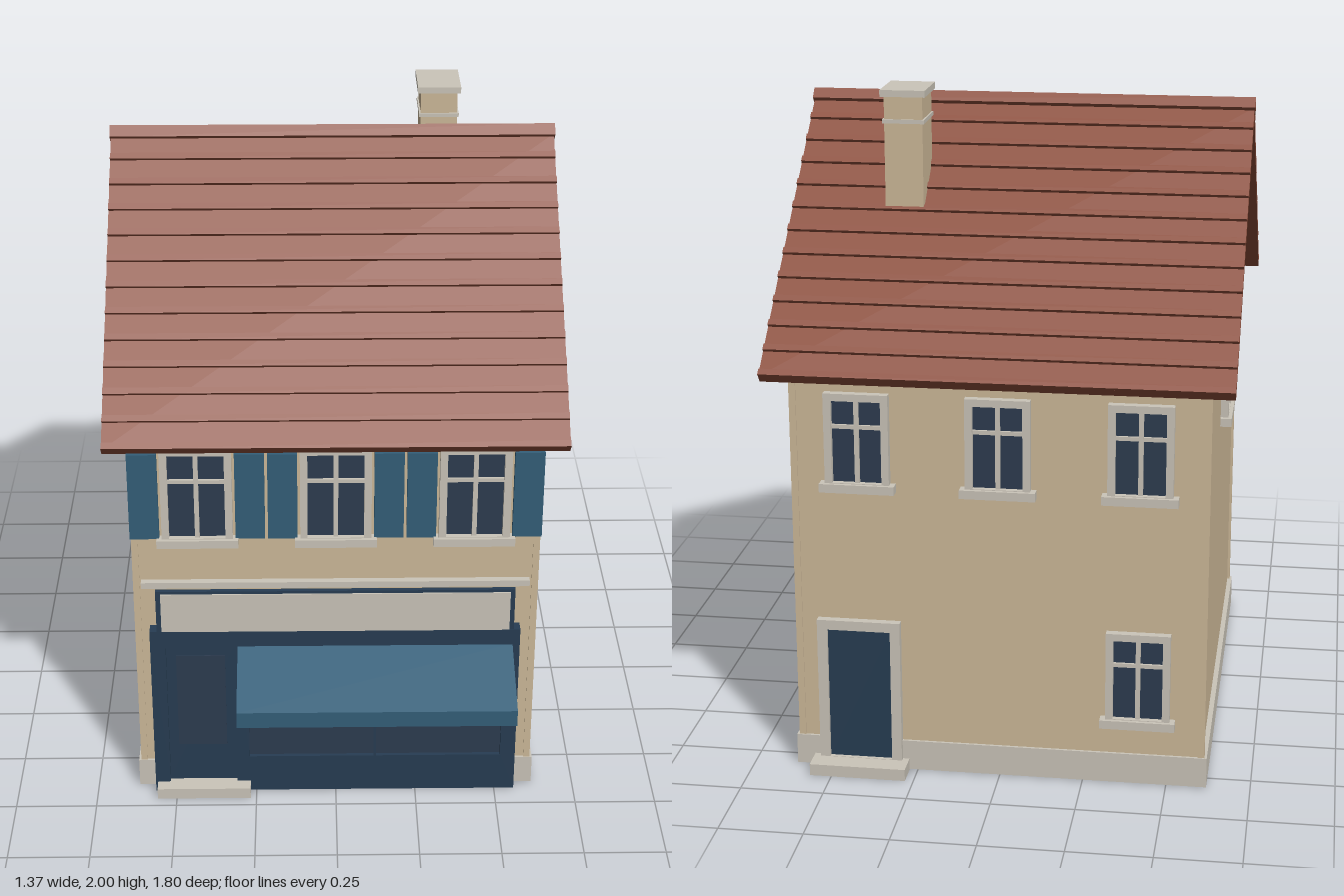
import * as THREE from 'three';

const mat = (name, color) => {
  const m = new THREE.MeshStandardMaterial({ color });
  m.name = name;
  return m;
};

export function createModel() {
  const wall = mat('plaster', 0xcdb999);
  const trim = mat('stone trim', 0xcbc5b9);
  const tile = mat('roof tile', 0x8b4c39);
  const navy = mat('shopfront paint', 0x273d53);
  const glass = mat('dark glass', 0x2d3c50);
  const blue = mat('shutter blue', 0x345f79);

  const model = new THREE.Group();
  model.name = 'house';
  const ZC = -0.086, HX = 0.605, HZ = 0.72, SLOPE = 0.84;

  const add = (name, geo, material, parent = model) => {
    const m = new THREE.Mesh(geo, material);
    m.name = name;
    parent.add(m);
    return m;
  };
  // box given by its min and max on each axis
  const box = (name, material, x0, x1, y0, y1, z0, z1, parent) => {
    const m = add(name, new THREE.BoxGeometry(x1 - x0, y1 - y0, z1 - z0), material, parent);
    m.position.set((x0 + x1) / 2, (y0 + y1) / 2, (z0 + z1) / 2);
    return m;
  };
  const rectPath = (x0, x1, y0, y1, Type = THREE.Path) => {
    const p = new Type();
    p.moveTo(x0, y0).lineTo(x1, y0).lineTo(x1, y1).lineTo(x0, y1).closePath();
    return p;
  };
  const frame = (name, material, outer, holes, depth, parent) => {
    const s = rectPath(...outer, THREE.Shape);
    holes.forEach(h => s.holes.push(rectPath(...h)));
    return add(name, new THREE.ExtrudeGeometry(s, { depth, bevelEnabled: false }), material, parent);
  };

  // Walls with gables, extruded along x
  const gable = new THREE.Shape();
  gable.moveTo(-HZ, 0).lineTo(HZ, 0).lineTo(HZ, 1.28).lineTo(0, 1.885).lineTo(-HZ, 1.28).closePath();
  const walls = add('walls', new THREE.ExtrudeGeometry(gable, { depth: HX * 2, bevelEnabled: false }), wall);
  walls.rotation.y = -Math.PI / 2;
  walls.position.set(HX, 0, ZC);

  // Plinth, eaves band and corner strips
  box('plinth', trim, -0.62, 0.62, 0.002, 0.095, ZC - HZ - 0.008, ZC + HZ + 0.008);
  box('eavesBand', trim, -0.618, 0.618, 1.24, 1.28, ZC - HZ - 0.008, ZC + HZ + 0.008);
  for (const sx of [-1, 1]) for (const sz of [-1, 1]) {
    const c = box('cornerStrip', wall, -0.01, 0.01, 0.095, 1.24, -0.01, 0.01);
    c.position.x = sx * 0.603;
    c.position.z = ZC + sz * 0.714;
  }

  // Roof: two slabs with raised tile courses, and a ridge beam
  const angle = Math.atan(SLOPE), run = 0.795, len = run / Math.cos(angle), courses = 12;
  for (const side of [1, -1]) {
    const slope = new THREE.Group();
    slope.name = side > 0 ? 'frontRoofSlope' : 'backRoofSlope';
    slope.position.set(0, 1.905, ZC);
    slope.rotation.order = 'YXZ';
    slope.rotation.y = side > 0 ? 0 : Math.PI;
    slope.rotation.x = angle;
    box('roofSlab', tile, -0.68, 0.68, -0.014, 0.012, 0, len, slope);
    for (let i = 1; i <= courses; i++) {
      const z = (len * i) / courses;
      box('tileCourse', tile, -0.68, 0.68, 0.008, 0.023, z - 0.02, z, slope);
    }
    model.add(slope);
  }
  const ridge = box('ridgeTile', tile, -0.683, 0.683, -0.019, 0.019, -0.019, 0.019);
  ridge.position.set(0, 1.918, ZC);
  ridge.rotation.x = Math.PI / 4;

  // Chimney
  box('chimney', wall, 0.28, 0.395, 1.5, 1.985, -0.424, -0.276);
  box('chimneyBand', trim, 0.275, 0.4, 1.9, 1.912, -0.429, -0.271);
  box('chimneyCap', trim, 0.27, 0.405, 1.98, 2.0, -0.437, -0.263);

  // Window, standing on its sill and facing +z, with the wall at z = 0
  const makeWindow = (name, w, h, cross, depth = 0.024, border = 0.022) => {
    const g = new THREE.Group();
    g.name = name;
    const a = w / 2, b = a - border, top = h - border;
    frame('windowFrame', trim, [-a, a, 0, h], [[-b, b, 0.004, top]], depth, g);
    box('pane', glass, -b, b, 0, top, 0, 0.007, g);
    box('sill', trim, -a - 0.016, a + 0.016, -0.024, 0.002, 0, depth + 0.011, g);
    if (cross) {
      box('mullion', trim, -0.007, 0.007, 0, top, 0.006, 0.016, g);
      box('transom', trim, -b, b, h * 0.63 - 0.006, h * 0.63 + 0.006, 0.006, 0.015, g);
    }
    model.add(g);
    return g;
  };

  const ZF = ZC + HZ, ZB = ZC - HZ;
  for (const x of [-0.413, 0, 0.413]) {
    // Front windows with a pair of shutters
    makeWindow('frontWindow', 0.212, 0.305, true).position.set(x, 0.91, ZF);
    for (const s of [-1, 1]) {
      const c = x + s * 0.158;
      box('shutter', blue, c - 0.044, c + 0.044, 0.91, 1.195, ZF, ZF + 0.018);
    }
    // Back upper windows
    const bw = makeWindow('backWindow', 0.19, 0.275, true);
    bw.position.set(x, 0.91, ZB);
    bw.rotation.y = Math.PI;
  }
  const low = makeWindow('lowerBackWindow', 0.19, 0.275, true);
  low.position.set(-0.413, 0.21, ZB);
  low.rotation.y = Math.PI;
  // Small gable windows
  for (const s of [-1, 1]) {
    const gw = makeWindow('gableWindow', 0.17, 0.19, false);
    gw.position.set(s * HX, 0.95, ZC);
    gw.rotation.y = s * Math.PI / 2;
  }

  // Back door with stone surround and step
  const door = new THREE.Group();
  door.name = 'backDoor';
  door.position.set(0.42, 0, ZB);
  door.rotation.y = Math.PI;
  model.add(door);
  frame('doorSurround', trim, [-0.125, 0.125, 0.035, 0.48], [[-0.095, 0.095, 0.037, 0.45]], 0.024, door);
  box('doorLeaf', navy, -0.095, 0.095, 0.035, 0.45, 0, 0.012, door);
  box('doorStep', trim, -0.145, 0.145, 0, 0.036, 0, 0.085, door);

  // Shopfront: painted frame with openings for the door and two panes
  const openings = [[-0.52, -0.31, 0.036, 0.535], [-0.27, 0.118, 0.13, 0.5], [0.126, 0.515, 0.13, 0.5]];
  frame('shopfrontFrame', navy, [-0.567, 0.562, 0.001, 0.595], openings, 0.04).position.z = ZF;
  box('shopDoor', navy, -0.52, -0.31, 0.036, 0.535, ZF, ZF + 0.025);
  box('shopDoorGlass', glass, -0.49, -0.34, 0.17, 0.5, ZF + 0.02, ZF + 0.028);
  box('shopPanes', glass, -0.27, 0.515, 0.13, 0.5, ZF, ZF + 0.028);
  box('shopStep', trim, -0.56, -0.268, 0, 0.036, ZF, 0.715);

  // Sign board, held off the wall, and the cornice above it
  box('signBacking', navy, -0.545, 0.542, 0.59, 0.737, 0.658, 0.672);
  box('signPanel', trim, -0.53, 0.528, 0.596, 0.728, 0.668, 0.676);
  box('cornice', trim, -0.588, 0.586, 0.738, 0.758, ZF, 0.655);

  // Awning: sloping sheet and hanging valance
  const sheet = new THREE.Shape();
  sheet.moveTo(0.67, 0.543).lineTo(0.9, 0.453).lineTo(0.9, 0.4).lineTo(0.894, 0.4)
    .lineTo(0.894, 0.443).lineTo(0.67, 0.531).closePath();
  const awning = add('awning', new THREE.ExtrudeGeometry(sheet, { depth: 0.84, bevelEnabled: false }), blue);
  awning.rotation.y = -Math.PI / 2;
  awning.position.x = 0.54;

  return model;
}
